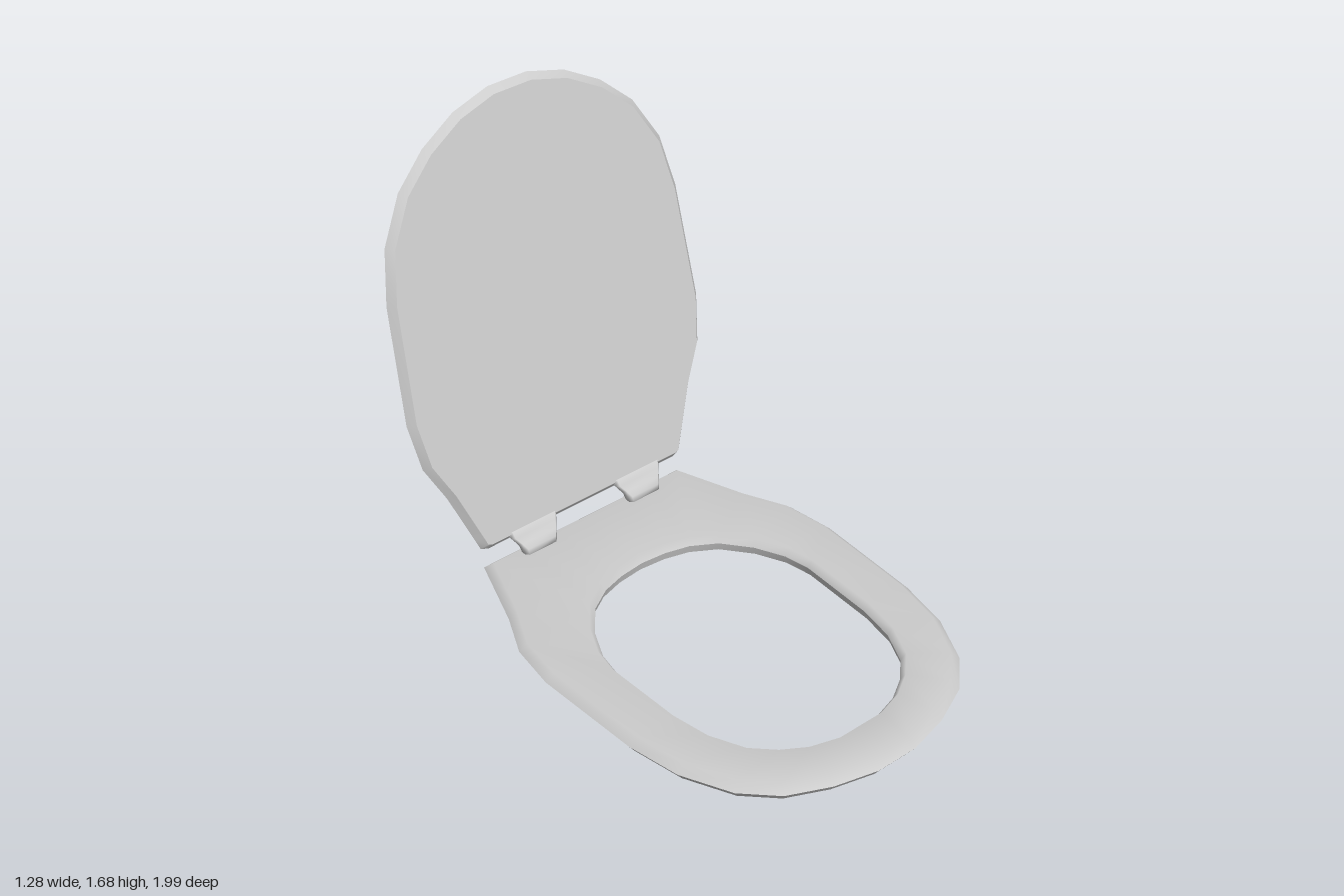
import * as THREE from 'three';
import { mergeGeometries } from 'three/addons/utils/BufferGeometryUtils.js';

const material = new THREE.MeshStandardMaterial({ color: 0xcccccc });

// Closed symmetric outline from its +x half (first and last points lie on x = 0)
function mirror(half) {
  const other = half.slice(1, -1).reverse().map(([x, y]) => [-x, y]);
  return [...half, ...other];
}

// Move an outline inwards by d, mitring its corners
function inset(outline, d) {
  const n = outline.length;
  const normal = (a, b) => {
    const dx = b[0] - a[0], dy = b[1] - a[1], l = Math.hypot(dx, dy);
    return [-dy / l, dx / l];
  };
  return outline.map((p, i) => {
    const a = normal(outline[(i + n - 1) % n], p);
    const b = normal(p, outline[(i + 1) % n]);
    const k = d / (1 + a[0] * b[0] + a[1] * b[1]);
    return [p[0] - (a[0] + b[0]) * k, p[1] - (a[1] + b[1]) * k];
  });
}

const scaled = (outline, s, cy) => outline.map(([x, y]) => [x * s, cy + (y - cy) * s]);

// Smooth skin through closed rings of 3D points
function skin(rings) {
  const n = rings[0].length, index = [];
  for (let r = 0; r < rings.length - 1; r++) {
    for (let i = 0; i < n; i++) {
      const a = r * n + i, b = r * n + (i + 1) % n;
      index.push(a, b, b + n, a, b + n, a + n);
    }
  }
  const geometry = new THREE.BufferGeometry();
  geometry.setAttribute('position', new THREE.Float32BufferAttribute(rings.flat(2), 3));
  geometry.setIndex(index);
  geometry.computeVertexNormals();
  return geometry;
}

function part(name, ...geometries) {
  const mesh = new THREE.Mesh(mergeGeometries(geometries), material);
  mesh.name = name;
  return mesh;
}

function createSeat() {
  const outer = mirror([[0, 1], [0.08, 1], [0.24, 0.96], [0.39, 0.89], [0.5, 0.78], [0.585, 0.6],
    [0.622, 0.4], [0.64, -0.02], [0.615, -0.2], [0.54, -0.36], [0.44, -0.64], [0.28, -0.64], [0.13, -0.64], [0, -0.64]]);
  const hole = mirror([[0, 0.81], [0.09, 0.81], [0.19, 0.78], [0.27, 0.73], [0.34, 0.66], [0.395, 0.54],
    [0.42, 0.4], [0.43, 0.1], [0.412, 0], [0.36, -0.11], [0.28, -0.21], [0.19, -0.265], [0.1, -0.29], [0, -0.3]]);
  const at = (outline, y) => outline.map(([x, z]) => [x, y, z]);
  const bottomOuter = at(inset(outer, 0.025), 0), bottomHole = at(inset(hole, -0.01), 0);
  const rim = at(outer, 0.035), holeRim = at(hole, 0.035);
  return part('seat',
    skin([bottomHole, bottomOuter]),
    skin([bottomOuter, rim]),
    skin([rim, at(inset(outer, 0.03), 0.063), at(inset(hole, -0.018), 0.063), holeRim]),
    skin([holeRim, bottomHole]));
}

const TILT = 0.214;

function createLid() {
  const outline = mirror([[0, 1.686], [0.08, 1.686], [0.23, 1.645], [0.37, 1.566], [0.49, 1.456], [0.58, 1.296],
    [0.617, 1.106], [0.636, 0.68], [0.61, 0.506], [0.54, 0.366], [0.465, 0.17], [0.45, 0.13],
    [0.42, 0.118], [0.3, 0.118], [0.15, 0.118], [0, 0.118]].map(([x, y]) => [x, y / Math.cos(TILT)]));
  const at = (ring, z) => ring.map(([x, y]) => [x, y, z]);
  const front = inset(outline, 0.024), back = inset(outline, 0.018);
  const rim = at(outline, -0.027);
  const lid = part('lid',
    skin([at(scaled(front, 0, 0.85), 0), at(front, 0)]),
    skin([at(front, 0), rim]),
    skin([rim, at(back, -0.047), at(scaled(back, 0.6, 0.85), -0.053), at(scaled(back, 0, 0.85), -0.055)]));
  lid.position.z = -0.584;
  lid.rotation.x = -TILT;
  return lid;
}

// Bent tab that flares into the lower edge of the lid
function createHinge(x) {
  const section = ([y, w, front, back]) => {
    const c = Math.min(0.012, w), f = front - c, b = back + c, v = w - c;
    return [[-v, front], [v, front], [w, f], [w, b], [v, back], [-v, back], [-w, b], [-w, f]]
      .map(([px, z]) => [px, y, z]);
  };
  const hinge = part('hinge', skin([
    [0.06, 0, -0.583, -0.583], [0.06, 0.07, -0.563, -0.605], [0.085, 0.073, -0.567, -0.618],
    [0.105, 0.085, -0.583, -0.64], [0.125, 0.1, -0.603, -0.657], [0.15, 0.105, -0.613, -0.664],
    [0.15, 0, -0.64, -0.64],
  ].map(section)));
  hinge.position.x = x;
  return hinge;
}

export function createModel() {
  const group = new THREE.Group();
  group.name = 'toiletSeat';
  group.add(createSeat(), createLid());
  for (const side of [-1, 1]) group.add(createHinge(side * 0.235));
  return group;
}
